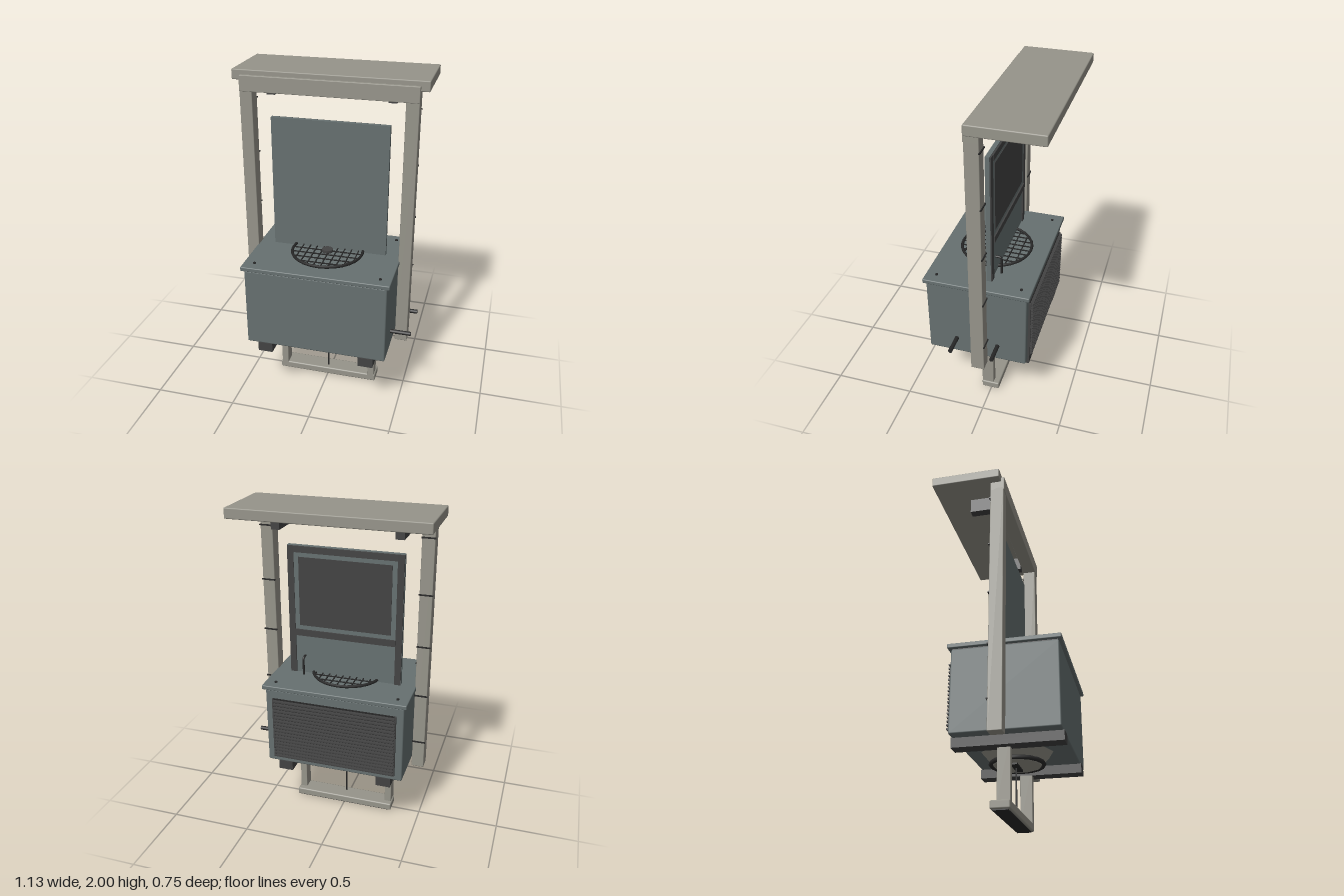
import * as THREE from 'three';
import { RoundedBoxGeometry } from 'three/addons/geometries/RoundedBoxGeometry.js';

const mat = (name, color) => {
  const m = new THREE.MeshStandardMaterial({ color });
  m.name = name;
  return m;
};

export function createModel() {
  const root = new THREE.Group();
  const stone = mat('warm grey frame', 0x96948a);
  const steel = mat('blue grey steel', 0x667070);
  const dark = mat('dark grey', 0x434343);
  const black = mat('near black', 0x282828);

  const add = (name, geo, m, x = 0, y = 0, z = 0, parent = root) => {
    const mesh = new THREE.Mesh(geo, m);
    mesh.name = name;
    mesh.position.set(x, y, z);
    parent.add(mesh);
    return mesh;
  };
  // box given by its min and max on each axis, optionally with eased edges
  const box = (name, m, [x0, x1], [y0, y1], [z0, z1], r = 0, parent = root) => {
    const s = [x1 - x0, y1 - y0, z1 - z0];
    const geo = r ? new RoundedBoxGeometry(...s, 1, r) : new THREE.BoxGeometry(...s);
    return add(name, geo, m, (x0 + x1) / 2, (y0 + y1) / 2, (z0 + z1) / 2, parent);
  };
  // the same box on both sides
  const pair = (name, m, [x0, x1], y, z, r) => {
    box(name + 'Left', m, [x0, x1], y, z, r);
    box(name + 'Right', m, [-x1, -x0], y, z, r);
  };

  // roof, header and posts
  box('roof', stone, [-0.565, 0.565], [1.94, 2], [-0.375, 0.045], 0.006);
  box('header', stone, [-0.515, 0.515], [1.88, 1.972], [-0.02, 0.066], 0.004);
  pair('post', stone, [0.44, 0.515], [0.36, 1.9], [-0.02, 0.062], 0.004);
  pair('roofBracket', dark, [0.33, 0.38], [1.85, 1.942], [-0.18, -0.018]);
  for (const y of [0.54, 0.86, 1.18, 1.5, 1.83]) {
    pair('postBand', black, [0.437, 0.519], [y - 0.004, y + 0.004], [-0.026, -0.018]);
  }

  // cabinet with top plate and runners
  box('cabinet', steel, [-0.43, 0.43], [0.39, 0.885], [-0.256, 0.356], 0.008);
  box('topSeal', black, [-0.425, 0.425], [0.88, 0.892], [-0.251, 0.351]);
  box('topPlate', steel, [-0.447, 0.447], [0.889, 0.916], [-0.275, 0.372], 0.005);
  pair('runner', dark, [0.27, 0.36], [0.335, 0.394], [-0.26, 0.36]);
  for (const x of [-0.38, 0.38]) for (const z of [-0.21, 0.305]) {
    add('topScrew', new THREE.CylinderGeometry(0.009, 0.009, 0.008, 10), black, x, 0.918, z);
  }
  for (const z of [-0.08, 0.178]) {
    add('sidePipe', new THREE.CylinderGeometry(0.013, 0.013, 0.13, 10), black, 0.49, 0.495, z).rotation.z = Math.PI / 2;
  }

  // louvred grille on the back
  const vent = new THREE.Group();
  vent.name = 'backGrille';
  root.add(vent);
  box('grilleBacking', black, [-0.385, 0.385], [0.425, 0.83], [-0.262, -0.255], 0, vent);
  for (let i = 0; i < 18; i++) {
    const y = 0.437 + i * 0.0224;
    box('louvre', dark, [-0.38, 0.38], [y - 0.004, y + 0.004], [-0.282, -0.26], 0, vent);
  }
  for (const x of [-0.381, 0.381]) {
    box('grilleSide', dark, [x - 0.005, x + 0.005], [0.425, 0.83], [-0.27, -0.255], 0, vent);
  }

  // round wire grate on the top plate
  const grate = new THREE.Group();
  grate.name = 'topGrate';
  grate.position.set(0, 0.926, 0.05);
  root.add(grate);
  const R = 0.216;
  add('grateRing', new THREE.TorusGeometry(R, 0.009, 6, 28), black, 0, 0, 0, grate).rotation.x = Math.PI / 2;
  for (let i = -4; i <= 4; i++) {
    const a = i * 0.0435 + 0.011, h = Math.sqrt(R * R - a * a);
    box('grateBar', black, [a - 0.003, a + 0.003], [-0.004, 0.002], [-h, h], 0, grate);
  }
  for (let i = -3; i <= 3; i++) {
    const a = i * 0.0545 + 0.005, h = Math.sqrt(R * R - a * a);
    box('grateBar', black, [-h, h], [-0.002, 0.004], [a - 0.003, a + 0.003], 0, grate);
  }
  add('grateHub', new THREE.CylinderGeometry(0.034, 0.034, 0.018, 12), dark, 0, 0.002, 0, grate);

  // upright panel with a framed pane on its back
  box('backPanel', steel, [-0.352, 0.352], [0.914, 1.725], [-0.02, 0.006]);
  pair('panelStile', dark, [0.312, 0.351], [0.916, 1.722], [-0.028, -0.018]);
  box('panelTopRail', dark, [-0.312, 0.312], [1.685, 1.722], [-0.031, -0.018]);
  box('panelMidRail', dark, [-0.312, 0.312], [1.165, 1.205], [-0.034, -0.018]);
  box('paneTrim', steel, [-0.312, 0.312], [1.205, 1.685], [-0.025, -0.018]);
  box('pane', dark, [-0.283, 0.283], [1.232, 1.658], [-0.028, -0.022]);

  // bent rod behind the panel
  const bend = new THREE.CurvePath();
  const v = (y, z) => new THREE.Vector3(0.256, y, z);
  bend.add(new THREE.LineCurve3(v(0.91, -0.056), v(1.012, -0.056)));
  bend.add(new THREE.QuadraticBezierCurve3(v(1.012, -0.056), v(1.03, -0.056), v(1.03, -0.04)));
  bend.add(new THREE.LineCurve3(v(1.03, -0.04), v(1.03, -0.015)));
  add('bentRod', new THREE.TubeGeometry(bend, 24, 0.007, 8), black);

  // faceted bowl under the cabinet
  const bowl = new THREE.CylinderGeometry(0.21, 0.14, 0.075, 9).toNonIndexed();
  bowl.computeVertexNormals();
  add('underBowl', bowl, stone, -0.005, 0.353, 0.03);
  const ring = add('bowlRing', new THREE.TorusGeometry(0.153, 0.013, 6, 18), black, -0.005, 0.326, 0.03);
  ring.rotation.x = Math.PI / 2;
  box('bowlBar', black, [-0.08, 0.08], [0.306, 0.318], [0.005, 0.045]);
  add('pullRod', new THREE.CylinderGeometry(0.005, 0.005, 0.28, 8), black, 0, 0.18, 0.022);

  // lower stirrup
  pair('stirrupPost', stone, [0.27, 0.312], [0.04, 0.392], [-0.015, 0.06], 0.003);
  box('stirrupFoot', stone, [-0.32, 0.32], [0.006, 0.052], [-0.052, 0.06], 0.008);
  box('footPad', black, [-0.305, 0.305], [0, 0.008], [-0.04, 0.045]);

  return root;
}
